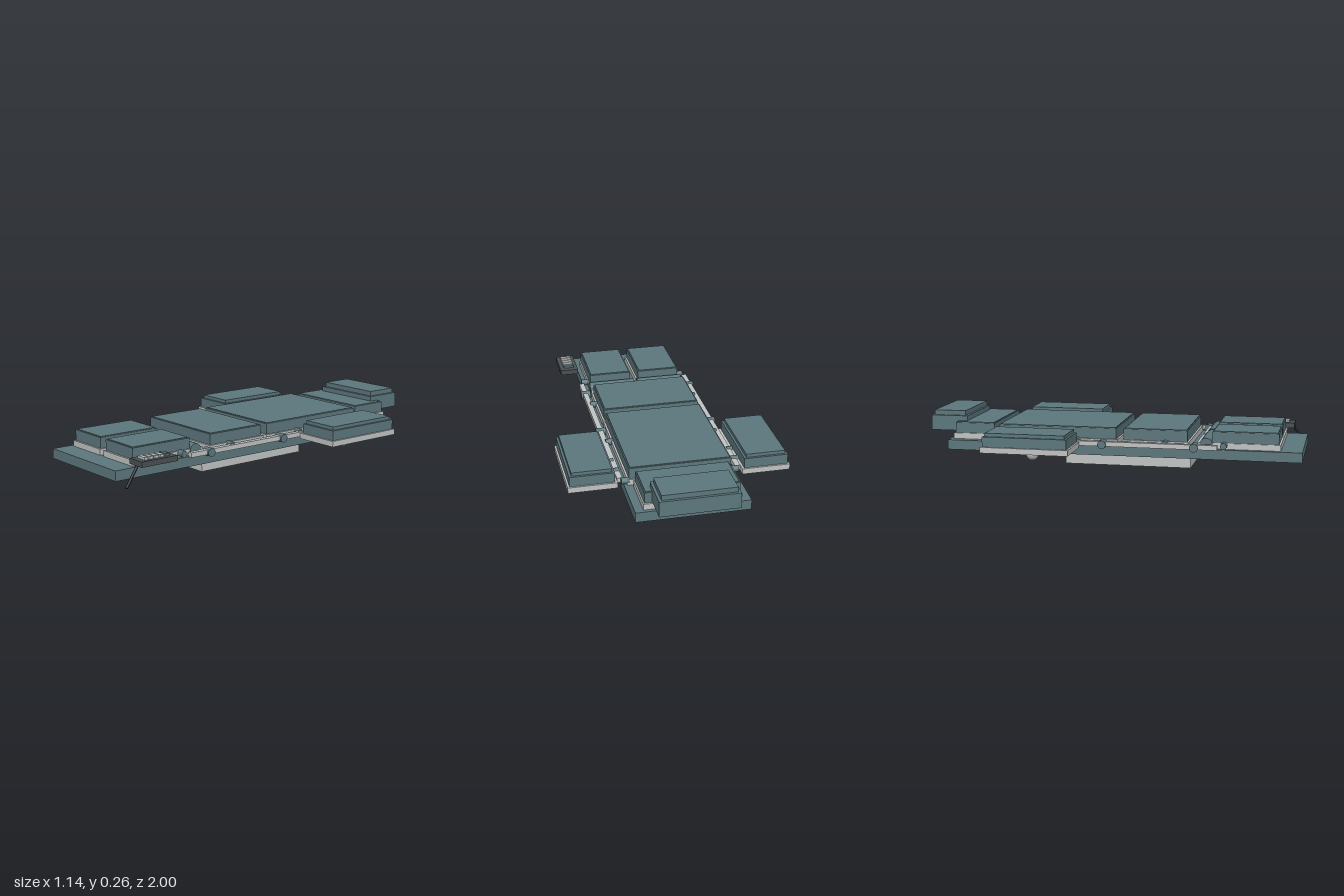
import * as THREE from 'three';

const material = (name, color) => {
  const m = new THREE.MeshStandardMaterial({ color });
  m.name = name;
  return m;
};

export function createModel() {
  const model = new THREE.Group();
  model.name = 'operatingTable';
  const teal = material('teal upholstery', 0x5c777d);
  const steel = material('light steel', 0xc2c4c4);
  const dark = material('dark plastic', 0x4a4f52);
  const black = material('black cable', 0x1c1e20);

  const add = (name, geometry, mat, parent = model) => {
    const mesh = new THREE.Mesh(geometry, mat);
    mesh.name = name;
    parent.add(mesh);
    return mesh;
  };
  // Box given by its limits on each axis
  const box = (name, mat, x0, x1, y0, y1, z0, z1, parent) => {
    const mesh = add(name, new THREE.BoxGeometry(x1 - x0, y1 - y0, z1 - z0), mat, parent);
    mesh.position.set((x0 + x1) / 2, (y0 + y1) / 2, (z0 + z1) / 2);
    return mesh;
  };
  // Cylinder between two points
  const rod = (name, mat, a, b, radius, parent) => {
    const p = new THREE.Vector3(...a), q = new THREE.Vector3(...b);
    const d = q.clone().sub(p);
    const mesh = add(name, new THREE.CylinderGeometry(radius, radius, d.length(), 20), mat, parent);
    mesh.position.copy(p).add(q).multiplyScalar(0.5);
    mesh.quaternion.setFromUnitVectors(new THREE.Vector3(0, 1, 0), d.normalize());
    return mesh;
  };
  // Cushion: wide lower pad with a slightly smaller top pad
  const cushion = (name, x0, x1, y0, y1, z0, z1, step, inset, parent) => {
    const g = new THREE.Group();
    g.name = name;
    (parent || model).add(g);
    box('lowerPad', teal, x0, x1, y0, y1 - step, z0, z1, g);
    box('upperPad', teal, x0 + inset, x1 - inset, y1 - step, y1, z0 + inset, z1 - inset, g);
  };

  // Base plate and the column block beneath it
  box('columnBlock', steel, -0.203, 0.203, 0, 0.07, -0.25, 0.42);
  box('basePlate', teal, -0.288, 0.288, 0.067, 0.119, -0.88, 1.0);

  // Back, seat and shoulder sections
  const sections = [
    ['shoulder', 0.245, -0.86, -0.625, 0.238],
    ['back', 0.272, -0.61, 0.045, 0.262],
    ['seat', 0.272, 0.065, 0.42, 0.262],
  ];
  for (const [name, w, z0, z1, cw] of sections) {
    box(name + 'Plate', steel, -w, w, 0.119, 0.15, z0, z1);
    cushion(name + 'Cushion', -cw, cw, 0.15, 0.21, z0 + 0.01, z1 - 0.01, 0.004, 0.006);
  }

  // Headrest
  cushion('headrest', -0.2, 0.2, 0.155, 0.262, -1.0, -0.798, 0.026, 0.014);
  for (const x of [-0.23, 0.23]) rod('neckHinge', steel, [x, 0.135, -0.63], [x, 0.135, -0.59], 0.012);

  // Hinge link between the two leg sections
  box('legLink', steel, -0.014, 0.014, 0.119, 0.146, 0.46, 0.54);
  rod('legHingePin', teal, [-0.03, 0.14, 0.5], [0.03, 0.14, 0.5], 0.014);

  for (const s of [-1, 1]) {
    const side = new THREE.Group();
    side.name = s > 0 ? 'leftSide' : 'rightSide';
    model.add(side);
    const span = (name, mat, a, b, ...rest) =>
      box(name, mat, Math.min(s * a, s * b), Math.max(s * a, s * b), ...rest, side);

    // Leg section with its hinge roller
    span('legPlate', steel, 0.014, 0.265, 0.119, 0.15, 0.46, 0.89);
    const legX = [s * 0.024, s * 0.258].sort((a, b) => a - b);
    cushion('legCushion', ...legX, 0.15, 0.21, 0.538, 0.88, 0.004, 0.006, side);
    rod('legRoller', teal, [s * 0.01, 0.142, 0.507], [s * 0.268, 0.142, 0.507], 0.033, side);

    // Accessory rail, its clamps and the mounting studs
    span('sideRail', steel, 0.29, 0.318, 0.12, 0.145, -0.575, 0.57);
    for (const z of [-0.03, 0.45]) {
      rod('railClamp', teal, [s * 0.275, 0.13, z], [s * 0.328, 0.13, z], 0.022, side);
    }
    for (const z of [-0.595, -0.17, 0.295, 0.6]) {
      rod('railStud', teal, [s * 0.26, 0.139, z], [s * 0.301, 0.139, z], 0.017, side);
    }
    rod('armLockKnob', teal, [s * 0.3, 0.135, -0.38], [s * 0.33, 0.135, -0.38], 0.017, side);

    // Arm board on a ball joint
    span('armPlate', steel, 0.32, 0.57, 0.11, 0.14, -0.61, -0.15);
    const armX = [s * 0.332, s * 0.56].sort((a, b) => a - b);
    cushion('armCushion', ...armX, 0.14, 0.21, -0.6, -0.16, 0.018, 0.012, side);
    rod('armClamp', teal, [s * 0.29, 0.132, -0.485], [s * 0.332, 0.132, -0.485], 0.021, side);
    rod('armStrut', teal, [s * 0.31, 0.132, -0.485], [s * 0.415, 0.09, -0.375], 0.013, side);
    add('armBall', new THREE.SphereGeometry(0.034, 24, 16), steel, side)
      .position.set(s * 0.415, 0.087, -0.375);
  }

  // Hand control with a column of buttons and a cable
  const control = new THREE.Group();
  control.name = 'handControl';
  model.add(control);
  box('controlBody', dark, 0.3, 0.402, 0.145, 0.173, 0.716, 0.925, control);
  for (let i = 0; i < 5; i++) {
    const z = 0.76 + i * 0.031;
    box('button', i === 0 ? teal : steel, 0.322, 0.38, 0.173, 0.185, z - 0.011, z + 0.011, control);
  }
  rod('cable', black, [0.352, 0.155, 0.91], [0.37, 0.05, 0.993], 0.007, control);
  return model;
}
